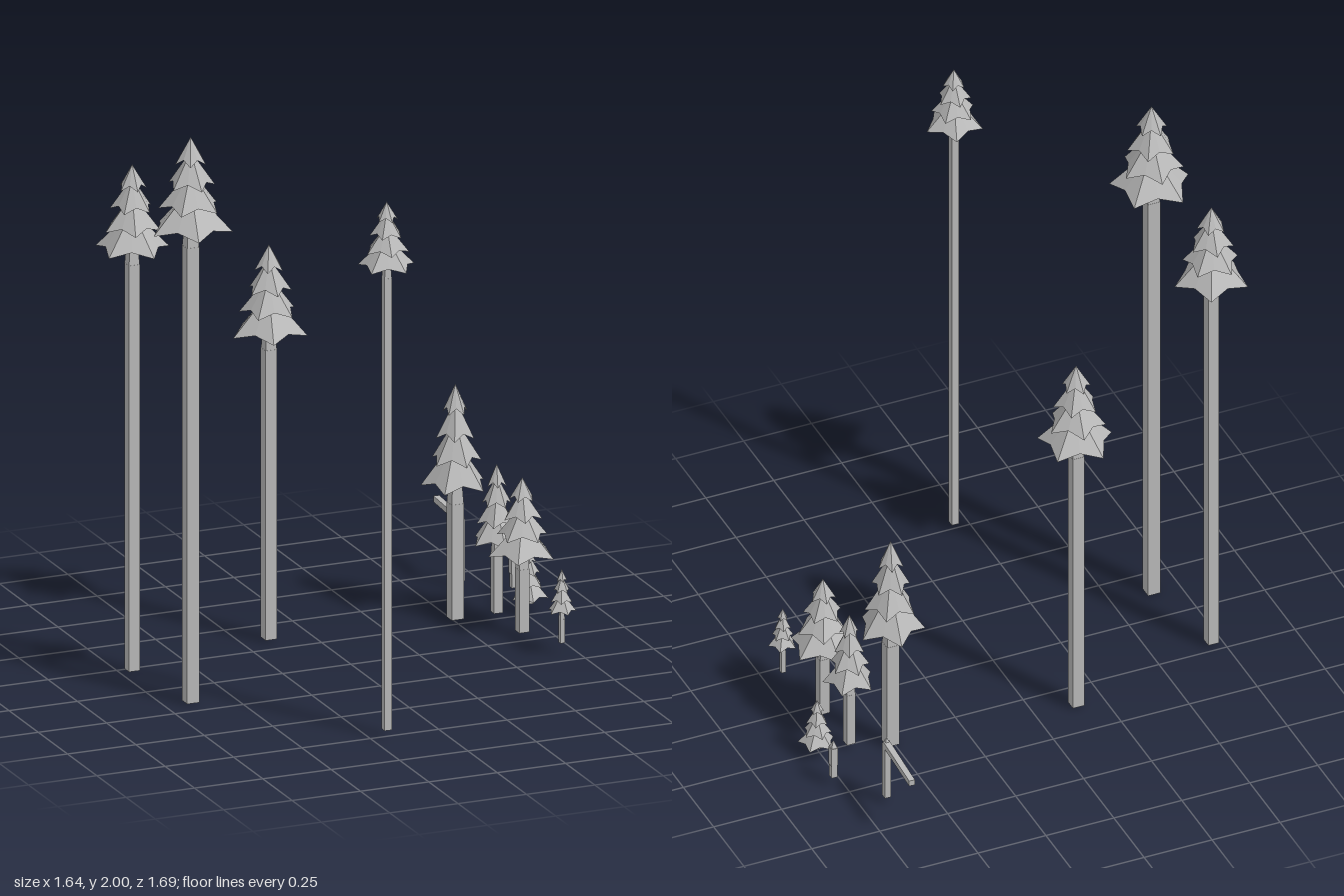
import * as THREE from 'three';

const grey = new THREE.MeshStandardMaterial({ color: 0xb8b8b8 });
grey.name = 'pale grey';

function add(parent, geometry, name, x = 0, y = 0, z = 0) {
  const mesh = new THREE.Mesh(geometry, grey);
  mesh.name = name;
  mesh.position.set(x, y, z);
  parent.add(mesh);
  return mesh;
}

// Square prism with an optional taper, sides facing the axes
function squarePost(top, bottom, height) {
  const g = new THREE.CylinderGeometry(top / Math.SQRT2, bottom / Math.SQRT2, height, 4, 1);
  g.rotateY(Math.PI / 4);
  const flat = g.toNonIndexed();
  flat.computeVertexNormals();
  return flat;
}

// Five-pointed skirt of needles: drooping points, raised valleys, hollow underside
function starTier(radius, rise, droop, hollow, phase) {
  const rim = [];
  for (let i = 0; i < 10; i++) {
    const a = phase + (i * Math.PI) / 5;
    const valley = i % 2 === 1;
    const r = radius * (valley ? 0.72 : 1);
    rim.push([r * Math.cos(a), valley ? droop : 0, r * Math.sin(a)]);
  }
  const points = [];
  for (let i = 0; i < 10; i++) {
    const a = rim[i], b = rim[(i + 1) % 10];
    points.push(...b, ...a, 0, rise, 0);
    points.push(...a, ...b, 0, hollow, 0);
  }
  const g = new THREE.BufferGeometry();
  g.setAttribute('position', new THREE.Float32BufferAttribute(points, 3));
  g.computeVertexNormals();
  return g;
}

// Tiers from the tip down: depth of rim, radius, cone height (as fractions)
const tiers = [
  [0.28, 0.38, 0.28],
  [0.52, 0.58, 0.37],
  [0.76, 0.76, 0.41],
  [1.0, 1.0, 0.46],
];

function makeTree({ x, z, ground, skirt, top, radius, width, turn }) {
  const tree = new THREE.Group();
  tree.name = 'pineTree';
  tree.position.set(x, 0, z);
  const h = top - skirt;
  const joint = Math.max(skirt - 0.17 * h, ground + 0.01);
  add(tree, squarePost(width, width, joint - ground), 'trunk', 0, (joint + ground) / 2, 0);
  const upper = skirt + 0.5 * h - joint;
  add(tree, squarePost(width * 0.3, width * 0.97, upper), 'upperTrunk', 0, joint + upper / 2, 0);
  tiers.forEach(([depth, spread, rise], i) => {
    const phase = THREE.MathUtils.degToRad(turn + (3 - i) * 28);
    add(tree, starTier(radius * spread, rise * h, 0.06 * h, 0.1 * h, phase),
      'foliageTier', 0, top - depth * h, 0);
  });
  return tree;
}

export function createModel() {
  const model = new THREE.Group();
  model.name = 'pineGrove';

  // x, z, ground, skirt height, top, radius, trunk width, turn in degrees
  const trees = [
    [-0.65, 0.15, 0.0, 1.67, 2.0, 0.143, 0.045, 30],
    [-0.71, -0.21, 0.01, 1.5, 1.8, 0.13, 0.04, 6],
    [-0.19, 0.75, 0.025, 1.665, 1.895, 0.1, 0.027, 0],
    [-0.15, -0.35, 0.005, 1.085, 1.4, 0.133, 0.042, 34],
    [0.51, -0.3, 0.005, 0.475, 0.835, 0.117, 0.045, -13],
    [0.65, -0.055, 0.015, 0.285, 0.56, 0.117, 0.037, -24],
    [0.645, -0.262, 0.02, 0.27, 0.545, 0.09, 0.032, 22],
    [0.765, -0.265, 0.035, 0.055, 0.23, 0.065, 0.024, 28],
    [0.695, 0.177, 0.04, 0.15, 0.3, 0.05, 0.017, 15],
  ];
  for (const [x, z, ground, skirt, top, radius, width, turn] of trees) {
    model.add(makeTree({ x, z, ground, skirt, top, radius, width, turn }));
  }

  // Snapped tree: standing stump, splintered tip and the log leaning back
  const snapped = new THREE.Group();
  snapped.name = 'snappedTree';
  snapped.position.set(0.66, 0, -0.605);
  add(snapped, squarePost(0.023, 0.023, 0.215), 'stump', 0, 0.1325, 0);
  add(snapped, squarePost(0.002, 0.023, 0.025), 'splinter', 0, 0.2525, 0);
  const log = add(snapped, squarePost(0.021, 0.022, 0.245), 'brokenLog', 0.007, 0.239, -0.118);
  log.rotation.set(-Math.PI / 2, 0, -0.055);
  model.add(snapped);

  // Small broken stump
  const stump = new THREE.Group();
  stump.name = 'smallStump';
  stump.position.set(0.783, 0, -0.44);
  add(stump, squarePost(0.021, 0.021, 0.05), 'stumpBase', 0, 0.06, 0);
  add(stump, squarePost(0.025, 0.025, 0.07), 'stumpBark', 0, 0.12, 0);
  add(stump, squarePost(0.002, 0.022, 0.027), 'splinter', 0, 0.168, 0);
  model.add(stump);

  return model;
}
